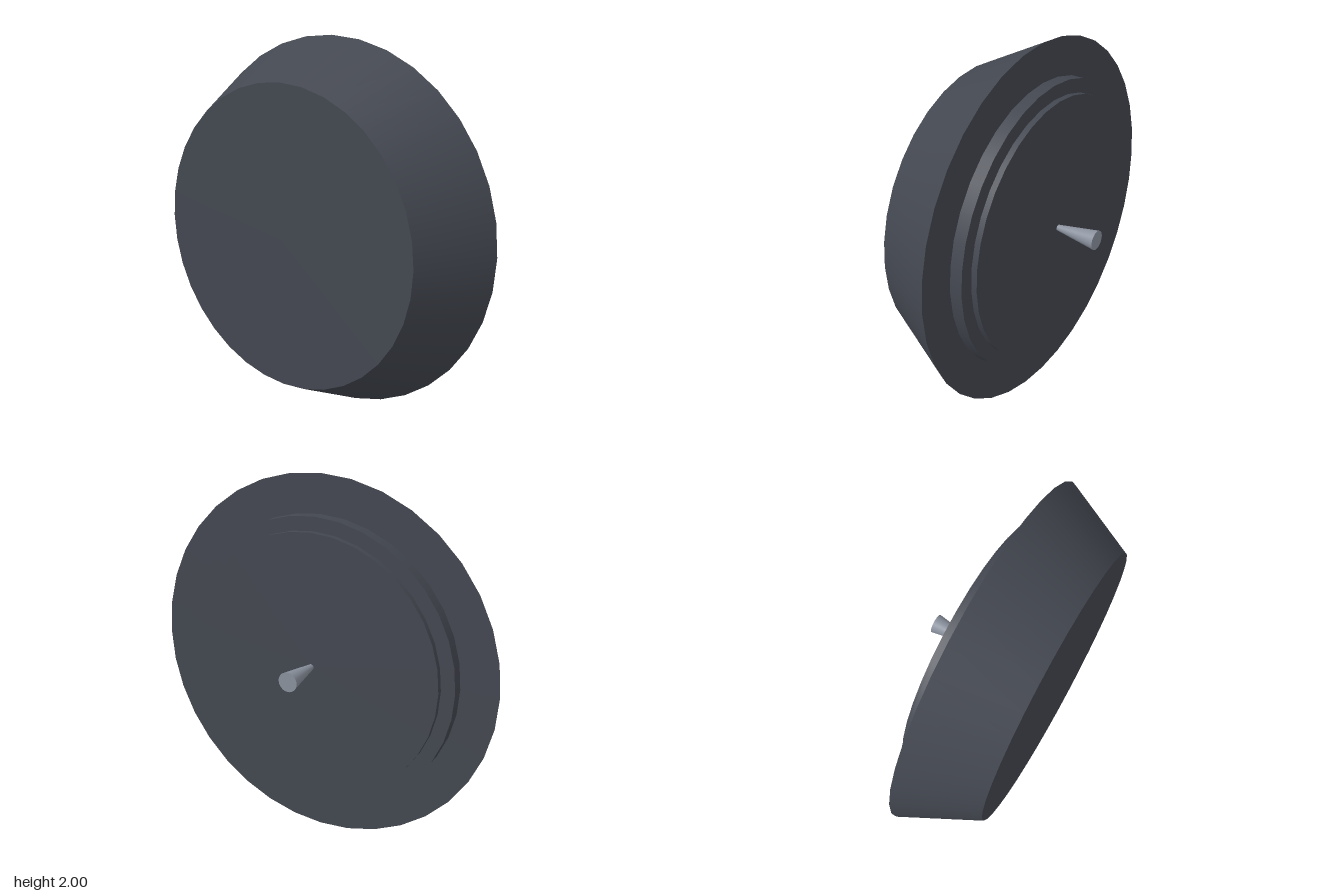
import * as THREE from 'three';

const SEGMENTS = 36;

export function createModel() {
  const group = new THREE.Group();
  const charcoal = new THREE.MeshStandardMaterial({ color: 0x434750 });
  charcoal.name = 'charcoal';
  const steel = new THREE.MeshStandardMaterial({ color: 0x8a919d });
  steel.name = 'steel';

  // Round section along z, from its front end to its back end
  function addDisc(name, frontRadius, backRadius, frontZ, backZ, material) {
    const geometry = new THREE.CylinderGeometry(frontRadius, backRadius, frontZ - backZ, SEGMENTS);
    geometry.rotateX(Math.PI / 2);
    const mesh = new THREE.Mesh(geometry, material);
    mesh.name = name;
    mesh.position.set(0, 1, (frontZ + backZ) / 2);
    group.add(mesh);
  }

  // Tapered cap, widest at the back
  addDisc('cap', 0.795, 1, 0.373, -0.037, charcoal);
  // Two stepped plates behind it
  addDisc('collarPlate', 0.795, 0.795, -0.037, -0.105, charcoal);
  addDisc('backPlate', 0.72, 0.72, -0.105, -0.137, charcoal);
  // Flared pin at the centre of the back
  addDisc('pin', 0.016, 0.053, -0.137, -0.373, steel);

  return group;
}
